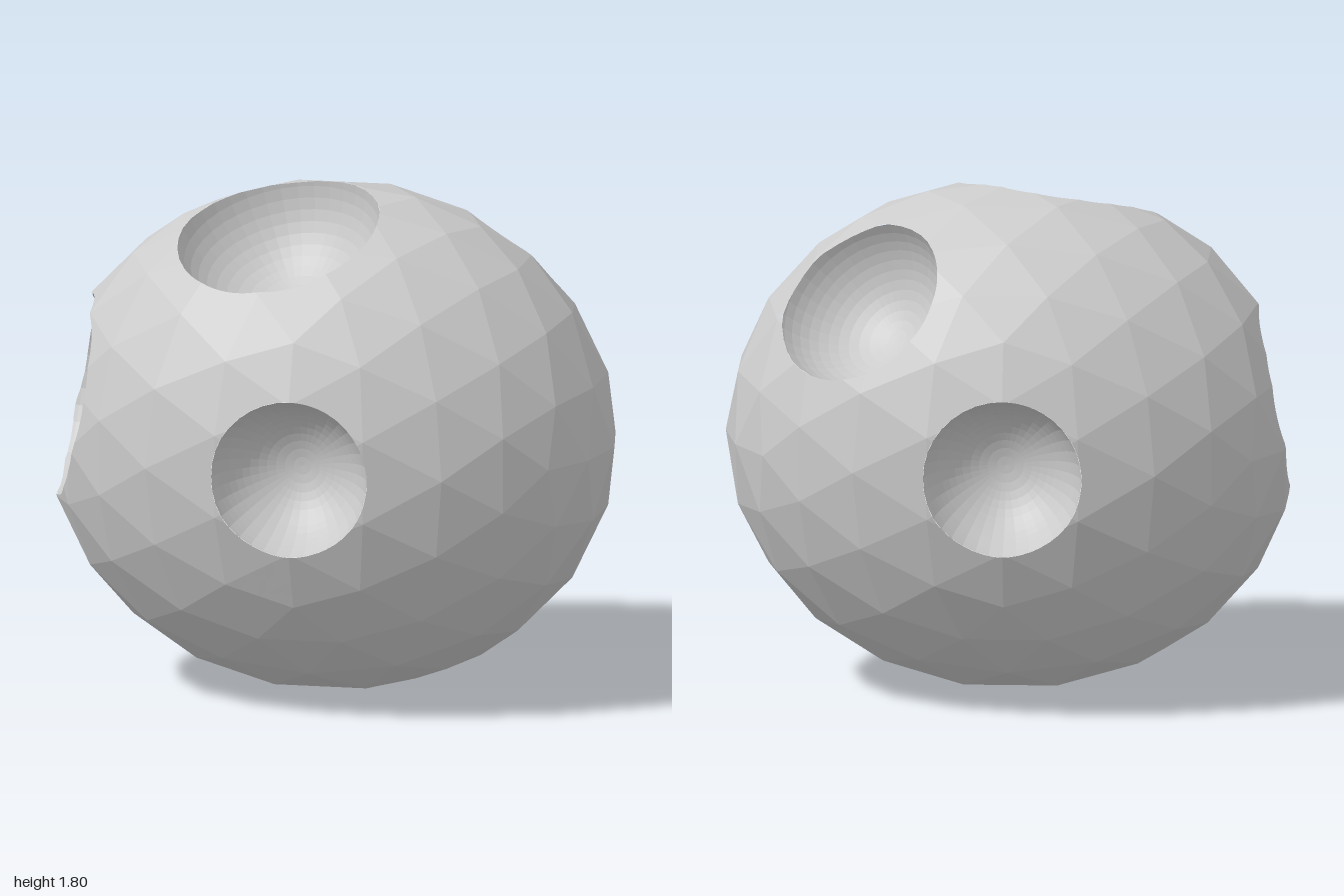
import * as THREE from 'three';

const CENTER = new THREE.Vector3(-0.01, 0.9, 0);
const RADII = new THREE.Vector3(1.01, 0.905, 0.797);

// Rim centre of each round hollow, relative to the body centre, and its radius
const HOLLOWS = [
  ['frontHollow', [0, 0, 0.77], 0.282],
  ['backHollow', [0, 0, -0.77], 0.282],
  ['topHollow', [-0.14, 0.76, 0.235], 0.37],
  ['rightHollow', [-0.9, 0.13, 0.115], 0.37],
  ['upperBackHollow', [0.51, 0.55, -0.39], 0.323],
];

// List of [a, b, c] corner triples from any geometry
function toTriangles(geometry) {
  const flat = geometry.index ? geometry.toNonIndexed() : geometry;
  const p = flat.attributes.position;
  const tris = [];
  for (let i = 0; i < p.count; i += 3) {
    tris.push([0, 1, 2].map((k) => new THREE.Vector3().fromBufferAttribute(p, i + k)));
  }
  return tris;
}

// Split a flat facet into n * n small coplanar triangles
function subdivide([a, b, c], n) {
  const at = (i, j) => a.clone()
    .addScaledVector(b.clone().sub(a), i / n)
    .addScaledVector(c.clone().sub(a), j / n);
  const out = [];
  for (let i = 0; i < n; i++) {
    for (let j = 0; j < n - i; j++) {
      out.push([at(i, j), at(i + 1, j), at(i, j + 1)]);
      if (i + j < n - 1) out.push([at(i + 1, j), at(i + 1, j + 1), at(i, j + 1)]);
    }
  }
  return out;
}

// Point on the edge where the field changes sign
function crossing(inside, outside, field) {
  let a = inside.clone(), b = outside.clone();
  for (let k = 0; k < 16; k++) {
    const m = a.clone().lerp(b, 0.5);
    if (field(m) >= 0) a = m; else b = m;
  }
  return a;
}

// Keep the part of each triangle where field >= 0
function clip(tris, field) {
  const out = [];
  for (const tri of tris) {
    const keep = tri.map((v) => field(v) >= 0);
    const poly = [];
    for (let i = 0; i < 3; i++) {
      const j = (i + 1) % 3;
      if (keep[i]) poly.push(tri[i]);
      if (keep[i] && !keep[j]) poly.push(crossing(tri[i], tri[j], field));
      if (!keep[i] && keep[j]) poly.push(crossing(tri[j], tri[i], field));
    }
    for (let i = 2; i < poly.length; i++) out.push([poly[0], poly[i - 1], poly[i]]);
  }
  return out;
}

function makeMesh(name, tris, material) {
  const geometry = new THREE.BufferGeometry().setFromPoints(tris.flat());
  geometry.computeVertexNormals();
  const mesh = new THREE.Mesh(geometry, material);
  mesh.name = name;
  return mesh;
}

export function createModel() {
  const group = new THREE.Group();
  group.name = 'hollowedBoulder';
  const material = new THREE.MeshStandardMaterial({ color: 0xcccccc, flatShading: true });

  // Faceted egg-shaped body
  const facets = toTriangles(
    new THREE.IcosahedronGeometry(1, 3).scale(RADII.x, RADII.y, RADII.z));
  const planes = facets.map(([a, b, c]) => new THREE.Plane().setFromCoplanarPoints(a, b, c));
  const insideBody = (p) => {
    let d = -Infinity;
    for (const plane of planes) d = Math.max(d, plane.distanceToPoint(p));
    return -d;
  };

  // Scooping balls, centred on the body's surface
  const balls = HOLLOWS.map(([name, rim, radius]) => {
    const dir = new THREE.Vector3(...rim);
    const center = dir.clone().divideScalar(dir.clone().divide(RADII).length());
    const normal = center.clone().divide(RADII).divide(RADII).normalize();
    return { name, center, normal, radius };
  });

  // Body shell with the round openings cut out
  let shell = facets.flatMap((f) => subdivide(f, 8));
  for (const { center, radius } of balls) {
    shell = clip(shell, (p) => p.distanceTo(center) - radius);
  }
  group.add(makeMesh('body', shell, material));

  // Bowl-shaped hollows, facing inward, trimmed at the shell
  const up = new THREE.Vector3(0, 1, 0);
  for (const { name, center, normal, radius } of balls) {
    const ball = new THREE.SphereGeometry(radius, 36, 28)
      .applyQuaternion(new THREE.Quaternion().setFromUnitVectors(up, normal))
      .translate(center.x, center.y, center.z);
    const bowl = clip(toTriangles(ball), insideBody).map(([a, b, c]) => [a, c, b]);
    group.add(makeMesh(name, bowl, material));
  }

  for (const mesh of group.children) mesh.position.copy(CENTER);
  return group;
}
